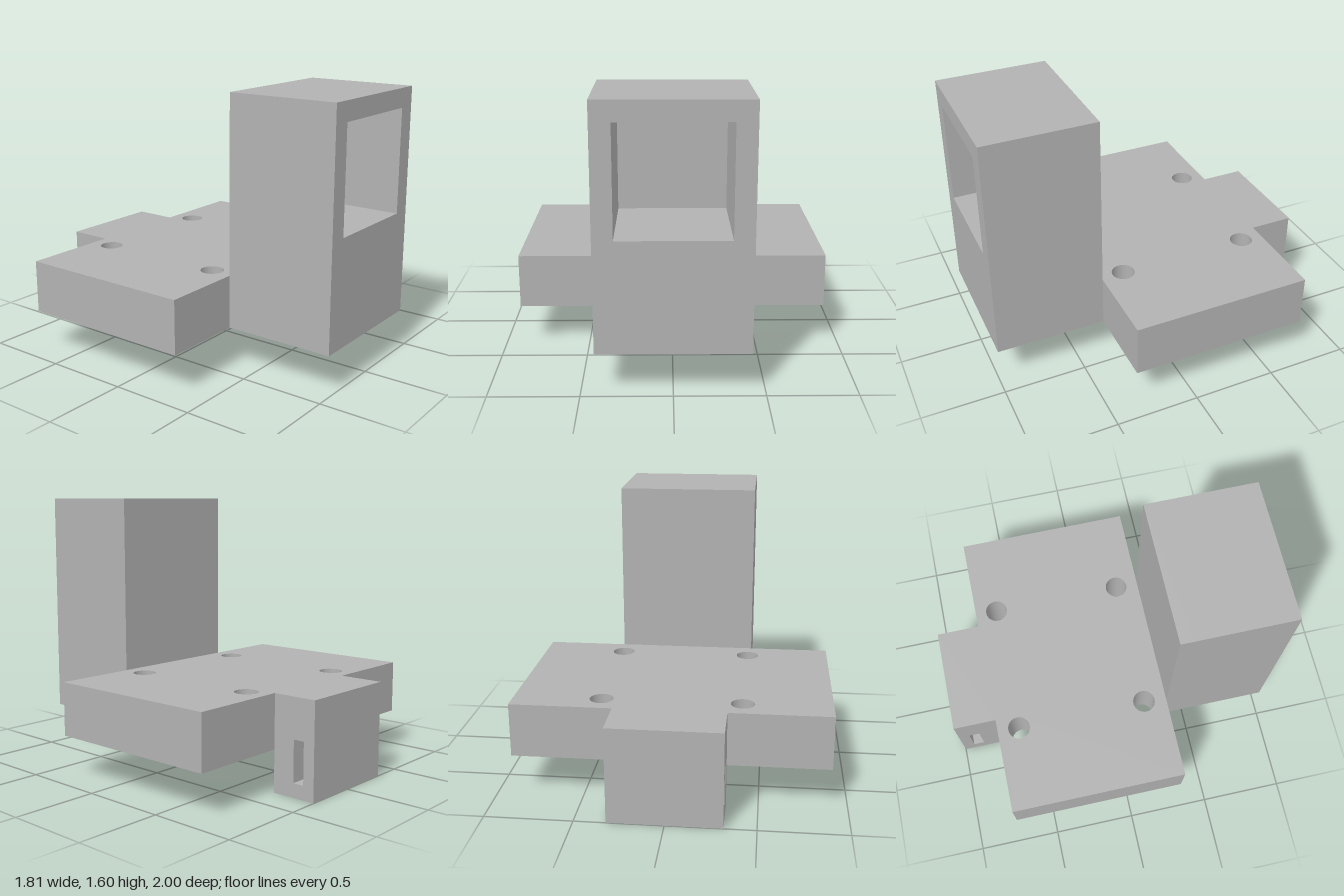
import * as THREE from 'three';

const rect = (path, x0, y0, x1, y1) =>
  path.moveTo(x0, y0).lineTo(x1, y0).lineTo(x1, y1).lineTo(x0, y1).closePath();

const extrude = (shape, depth) =>
  new THREE.ExtrudeGeometry(shape, { depth, bevelEnabled: false, curveSegments: 40 });

export function createModel() {
  const model = new THREE.Group();
  model.name = 'bracket';
  const grey = new THREE.MeshStandardMaterial({ color: 0xb2b2b2 });
  grey.name = 'grey';

  const add = (name, geometry) => {
    const mesh = new THREE.Mesh(geometry, grey);
    mesh.name = name;
    model.add(mesh);
  };

  const base = 0.245, deckTop = 0.56;
  const towerBack = 0.34, plateBack = -0.735, pocketBack = 0.415;

  // Base plate with four through holes, drawn in x and -z, extruded upward
  const plate = rect(new THREE.Shape(), -0.905, -towerBack, 0.905, -plateBack);
  for (const x of [-0.4, 0.4]) {
    for (const z of [-0.6, 0.2]) {
      plate.holes.push(new THREE.Path().absarc(x, -z, 0.068, 0, Math.PI * 2, true));
    }
  }
  add('basePlate', extrude(plate, deckTop - base).rotateX(-Math.PI / 2).translate(0, base, 0));

  // Rear block with a slot running through it sideways, drawn in -z and y
  const block = rect(new THREE.Shape(), -plateBack, 0, 1, deckTop);
  block.holes.push(rect(new THREE.Path(), 0.866, 0.083, 0.932, 0.325));
  add('rearBlock', extrude(block, 0.64).rotateY(Math.PI / 2).translate(-0.32, 0, 0));

  // Front tower: a frame around the square pocket, closed by a back wall
  const tower = rect(new THREE.Shape(), -0.42, base, 0.42, 1.6);
  tower.holes.push(rect(new THREE.Path(), -0.308, 0.875, 0.308, 1.488));
  add('towerFrame', extrude(tower, 1 - pocketBack).translate(0, 0, pocketBack));

  const wall = new THREE.BoxGeometry(0.84, 1.6 - base, pocketBack - towerBack);
  add('towerBackWall', wall.translate(0, (1.6 + base) / 2, (pocketBack + towerBack) / 2));

  return model;
}
